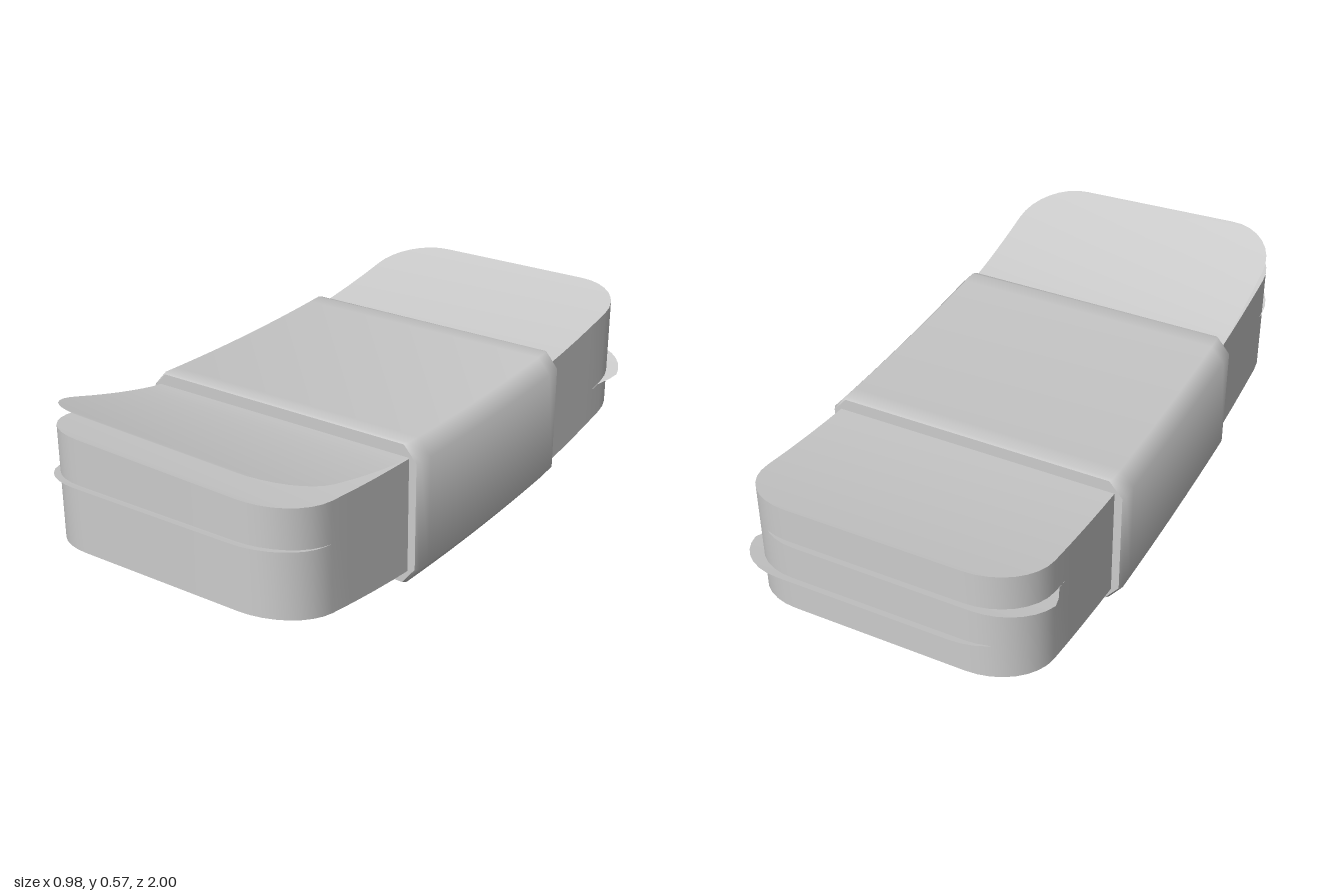
import * as THREE from 'three';
import { toCreasedNormals } from 'three/addons/utils/BufferGeometryUtils.js';

const HALF_WIDTH = 0.456, CORNER = 0.18, THICK = 0.362;

// Smile-shaped bend of the whole stack
const bend = (z) => 0.037 + 0.11 * z * z;
// 0 at the band, 1 at the front end
const frontT = (z) => THREE.MathUtils.clamp((z - 0.42) / 0.53, 0, 1);
// Top of the stack, sagging to one side at the front
const topY = (x, z) => bend(z) + THICK - 0.03 * frontT(z) * (x + HALF_WIDTH) / (2 * HALF_WIDTH);

// Rows [z, half width] from an inner z out to a rounded end
function endRows(start, end) {
  const rows = [];
  const zc = end - CORNER;
  for (let i = 0; i < 8; i++) rows.push([start + (zc - start) * i / 8, HALF_WIDTH]);
  for (let i = 0; i <= 8; i++) {
    const a = i / 8 * Math.PI / 2;
    rows.push([zc + CORNER * Math.sin(a), HALF_WIDTH - CORNER + CORNER * Math.cos(a)]);
  }
  return rows;
}

function makeGeometry(positions, indices) {
  const g = new THREE.BufferGeometry();
  g.setAttribute('position', new THREE.Float32BufferAttribute(positions, 3));
  g.setIndex(indices);
  return g;
}

// Closed body through rings running along +z, each counterclockwise seen from +z
function loft(rings, crease) {
  const n = rings[0].length, last = (rings.length - 1) * n, idx = [];
  for (let r = 0; r < rings.length - 1; r++) {
    for (let i = 0; i < n; i++) {
      const a = r * n + i, b = r * n + (i + 1) % n;
      idx.push(a, b, b + n, a, b + n, a + n);
    }
  }
  for (let i = 1; i < n - 1; i++) {
    idx.push(last, last + i, last + i + 1, 0, i + 1, i);
  }
  return toCreasedNormals(makeGeometry(rings.flat(2), idx), crease);
}

// Thin sheet with one rounded end; dir is +1 for front, -1 for back
function sheetGeometry(dir, start, end, height, shift = () => 0) {
  const cols = 8, pos = [], idx = [];
  const rows = endRows(start, end);
  rows.forEach(([d, w], r) => {
    for (let c = 0; c <= cols; c++) {
      const x = w * (2 * c / cols - 1), z = dir * d;
      pos.push(x + shift(d), height(x, z), z);
      if (r && c) {
        const b = r * (cols + 1) + c, a = b - cols - 1;
        if (dir > 0) idx.push(a - 1, b - 1, b, a - 1, b, a);
        else idx.push(a - 1, b, b - 1, a - 1, a, b);
      }
    }
  });
  const g = makeGeometry(pos, idx);
  g.computeVertexNormals();
  return g;
}

export function createModel() {
  const model = new THREE.Group();
  const solid = new THREE.MeshStandardMaterial({ color: 0xcccccc });
  const thin = new THREE.MeshStandardMaterial({ color: 0xcccccc, side: THREE.DoubleSide });
  const add = (name, geometry, material) => {
    const mesh = new THREE.Mesh(geometry, material);
    mesh.name = name;
    model.add(mesh);
  };

  // Bent stack of paper
  const back = endRows(0, 0.978).slice(1).reverse().map(([z, w]) => [-z, w]);
  const stackRings = [...back, ...endRows(0, 0.968)].map(([z, w]) => [
    [-w, bend(z), z], [w, bend(z), z], [w, topY(w, z), z], [-w, topY(-w, z), z],
  ]);
  add('paperStack', loft(stackRings, 0.6), solid);

  // Wrapping band with chamfered corners and slightly drawn-in rims
  const half = [[0.445, 0], [0.488, 0.055], [0.488, 0.4], [0.445, 0.45]];
  const profile = [...half, ...half.map(([x, y]) => [-x, y]).reverse()];
  const bandRings = [];
  for (let i = -9; i <= 9; i++) {
    const rim = Math.abs(i) === 9;
    const z = rim ? Math.sign(i) * 0.415 : i / 8 * 0.402;
    const s = rim ? 0.985 : 1;
    bandRings.push(profile.map(([x, y]) => [x * s, 0.225 + (y - 0.225) * s + 0.06 * z * z, z]));
  }
  add('band', loft(bandRings, 1.0), solid);

  // Lifted top sheet at the front
  add('liftedTopSheet', sheetGeometry(1, 0.4, 0.955,
    (x, z) => topY(x, z) + 0.002 + 0.07 * Math.pow(frontT(z), 1.2)), thin);

  // Sheet slipping out at the front
  add('frontLooseSheet', sheetGeometry(1, 0.42, 0.995, (x, z) => bend(z) + 0.213), thin);

  // Two sheets fanned out to either side at the back
  for (const [name, side, y] of [['upperBackLooseSheet', -1, 0.25], ['lowerBackLooseSheet', 1, 0.115]]) {
    add(name, sheetGeometry(-1, 0.42, 1.0, (x, z) => bend(z) + y,
      (d) => side * 0.035 * THREE.MathUtils.smoothstep(d, 0.76, 0.86)), thin);
  }
  return model;
}
